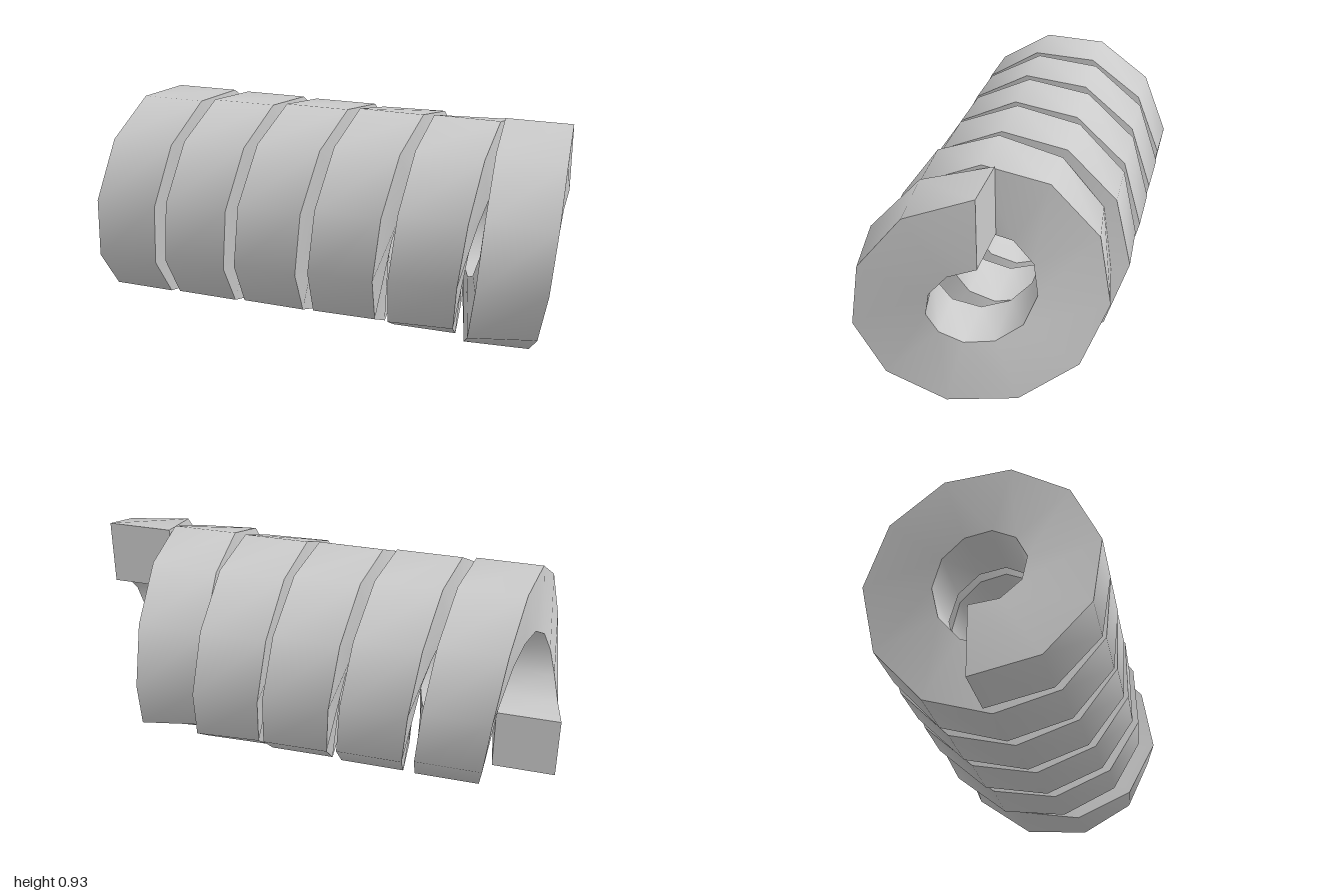
import * as THREE from 'three';
import { toCreasedNormals } from 'three/addons/utils/BufferGeometryUtils.js';

const TURNS = 5.5, STEPS = 60, PITCH = 0.32;
const RADIUS = 0.33, HALF = 0.135;        // centre line radius, half the square section
const AXIS_Y = 0.465, AXIS_Z = -0.03;

// Bend of the last turns: [turn, tilt, axial shift, sideways shift]
const BEND = [
  [0, 0, 0, 0],
  [2.5, 0, 0, 0],
  [3.75, 0.05, -0.01, 0.005],
  [4.25, 0.08, -0.012, 0.005],
  [4.75, 0.15, -0.022, 0.05],
  [5.25, 0.185, -0.03, 0.03],
  [5.5, 0.185, -0.06, 0],
];

function bendAt(t) {
  let i = 1;
  while (i < BEND.length - 1 && BEND[i][0] < t) i++;
  const a = BEND[i - 1], b = BEND[i];
  const f = (t - a[0]) / (b[0] - a[0]);
  return [1, 2, 3].map((k) => THREE.MathUtils.lerp(a[k], b[k], f));
}

// Square bar wound from the bottom, over the front, to the top
function coilGeometry() {
  const corners = [[-1, -1], [1, -1], [1, 1], [-1, 1]];
  const positions = [], index = [];
  for (let s = 0; s <= STEPS; s++) {
    const t = (s / STEPS) * TURNS, angle = t * Math.PI * 2;
    const [tilt, dx, dz] = bendAt(t);
    const roll = tilt * Math.sin(angle);
    const midX = -1 + HALF + PITCH * t + dx + RADIUS * Math.sin(roll);
    for (const [a, b] of corners) {
      const x = midX + HALF * (a * Math.cos(roll) + b * Math.sin(roll));
      const r = RADIUS + HALF * (b * Math.cos(roll) - a * Math.sin(roll));
      positions.push(x, AXIS_Y - r * Math.cos(angle), AXIS_Z + dz + r * Math.sin(angle));
    }
    if (s === STEPS) continue;
    for (let i = 0; i < 4; i++) {
      const p = s * 4 + i, q = s * 4 + ((i + 1) % 4);
      index.push(q, p, p + 4, q, p + 4, q + 4);
    }
  }
  // flat end caps
  const e = STEPS * 4;
  index.push(0, 1, 2, 0, 2, 3, e + 3, e + 2, e + 1, e + 3, e + 1, e);

  const geometry = new THREE.BufferGeometry();
  geometry.setAttribute('position', new THREE.Float32BufferAttribute(positions, 3));
  geometry.setIndex(index);
  return toCreasedNormals(geometry, 0.85);
}

export function createModel() {
  const group = new THREE.Group();
  group.name = 'coilSpring';
  const coil = new THREE.Mesh(coilGeometry(), new THREE.MeshStandardMaterial({ color: 0xcccccc }));
  coil.name = 'squareBarCoil';
  group.add(coil);
  return group;
}
